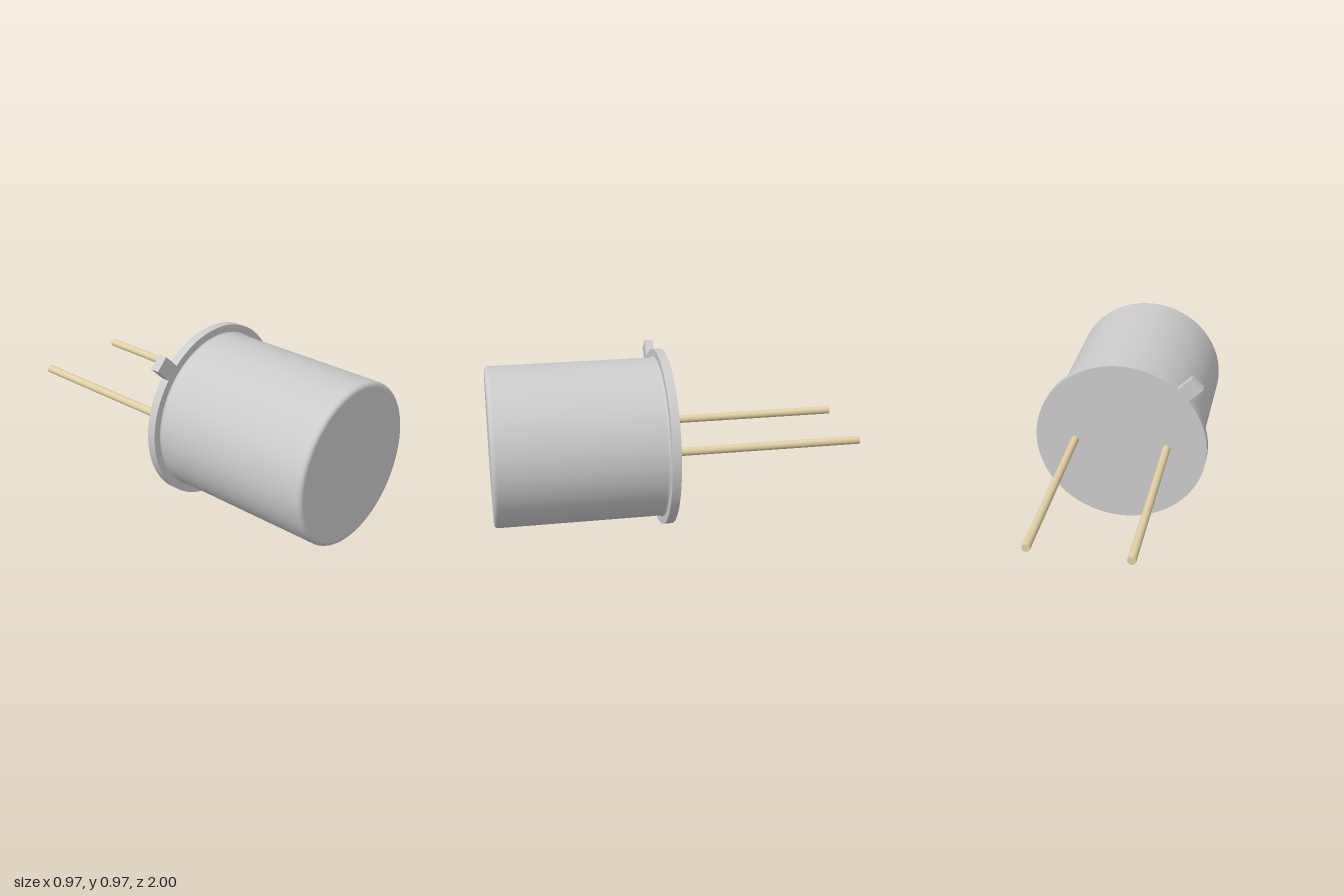
import * as THREE from 'three';

const CENTER_Y = 0.484;

export function createModel() {
  const group = new THREE.Group();
  const metal = new THREE.MeshStandardMaterial({ color: 0xcccccc });
  const leadMetal = new THREE.MeshStandardMaterial({ color: 0xe0cfa5 });

  const add = (name, geometry, material, x = 0, y = CENTER_Y, z = 0) => {
    const mesh = new THREE.Mesh(geometry, material);
    mesh.name = name;
    mesh.position.set(x, y, z);
    group.add(mesh);
    return mesh;
  };

  // Cylinder lying along z between two depths
  const rod = (radius, z0, z1, sides) =>
    new THREE.CylinderGeometry(radius, radius, z1 - z0, sides)
      .rotateX(Math.PI / 2)
      .translate(0, 0, (z0 + z1) / 2);

  // Can: small flare at the base, straight wall, rounded front rim, flat end
  const R = 0.437, fillet = 0.024;
  const profile = [[R + 0.008, 0.082], [R + 0.003, 0.085], [R, 0.091], [R, 0.1], [R, 0.97]];
  for (let i = 0; i <= 8; i++) {
    const a = (i / 8) * Math.PI / 2;
    profile.push([R - fillet + fillet * Math.cos(a), 1 - fillet + fillet * Math.sin(a)]);
  }
  profile.push([R - fillet - 0.005, 1], [0, 1]);
  const can = new THREE.LatheGeometry(profile.map(([r, z]) => new THREE.Vector2(r, z)), 96);
  add('can', can.rotateX(Math.PI / 2), metal);

  // Flange disc behind the can
  const back = 0.035, front = 0.083;
  add('flange', rod(0.484, back, front, 96), metal);

  // Index tab pointing diagonally off the rim
  const inner = 0.46, outer = 0.589;
  const tab = new THREE.BoxGeometry(outer - inner, 0.088, front - back)
    .translate((inner + outer) / 2, 0, (back + front) / 2)
    .rotateZ(Math.PI * 0.75);
  add('indexTab', tab, metal);

  // Pair of wire leads
  for (const side of [1, -1]) {
    add(side > 0 ? 'leftLead' : 'rightLead', rod(0.022, -1, 0.04, 32), leadMetal, side * 0.26);
  }

  return group;
}
